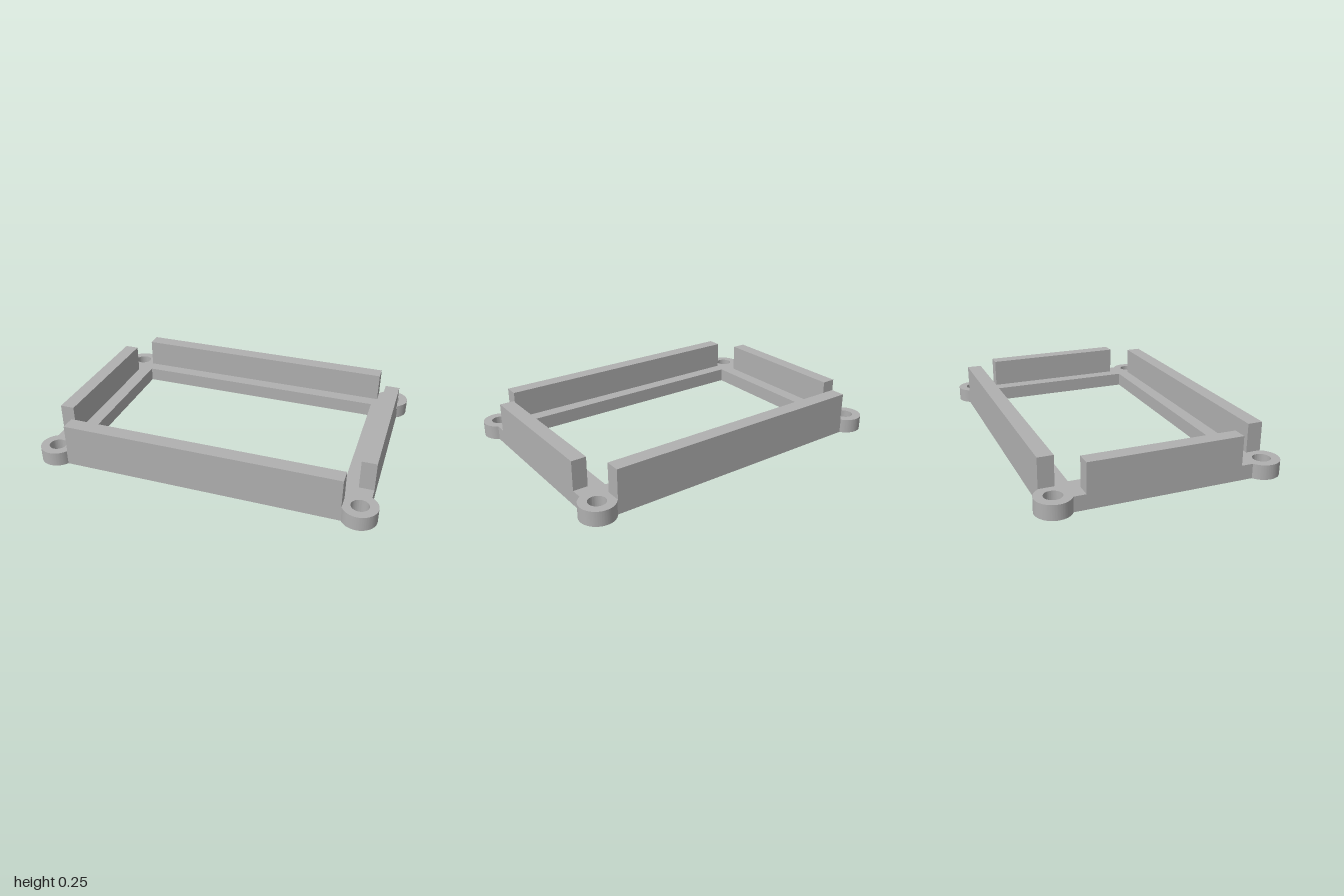
import * as THREE from 'three';
import { toCreasedNormals } from 'three/addons/utils/BufferGeometryUtils.js';

const BASE_H = 0.085, TOP = 0.255;
const EAR_X = 0.9, EAR_Z = 0.595, EAR_R = 0.1, HOLE_R = 0.05;

function rectPath(cx, cy, w, h) {
  const p = new THREE.Path();
  p.moveTo(cx - w / 2, cy - h / 2);
  p.lineTo(cx - w / 2, cy + h / 2);
  p.lineTo(cx + w / 2, cy + h / 2);
  p.lineTo(cx + w / 2, cy - h / 2);
  p.closePath();
  return p;
}

export function createModel() {
  const group = new THREE.Group();
  group.name = 'mountingBezel';
  const grey = new THREE.MeshStandardMaterial({ color: 0xb0b0b0 });
  grey.name = 'plainGrey';

  function add(name, geometry, x = 0, y = 0, z = 0) {
    const mesh = new THREE.Mesh(geometry, grey);
    mesh.name = name;
    mesh.position.set(x, y, z);
    group.add(mesh);
  }

  // Flat frame with a round screw ear at each corner
  const outline = new THREE.Shape();
  const corners = [[1, 1], [-1, 1], [-1, -1], [1, -1]];
  corners.forEach(([sx, sy], i) => {
    const start = -Math.PI / 3 + i * Math.PI / 2;
    outline.absarc(sx * EAR_X, sy * EAR_Z, EAR_R, start, start + Math.PI * 7 / 6, false);

    // Screw hole, and a blind slot underneath that the long wall covers
    const hole = new THREE.Path();
    hole.absarc(sx * EAR_X, sy * EAR_Z, HOLE_R, 0, Math.PI * 2, true);
    outline.holes.push(hole, rectPath(sx * 0.64, sy * 0.6, 0.115, 0.04));
  });
  outline.closePath();

  // Central window
  outline.holes.push(rectPath(0, 0, 1.565, 0.955));

  const frame = new THREE.ExtrudeGeometry(outline, {
    depth: BASE_H, bevelEnabled: false, curveSegments: 32,
  });
  frame.rotateX(-Math.PI / 2);
  add('baseFrame', toCreasedNormals(frame, Math.PI / 6));

  // Upright walls, stopping short of the ears
  const wallH = TOP - BASE_H, wallY = (TOP + BASE_H) / 2;
  const longWall = new THREE.BoxGeometry(1.62, wallH, 0.088);
  const sideWall = new THREE.BoxGeometry(0.085, wallH, 0.88);
  add('frontWall', longWall, 0, wallY, 0.601);
  add('backWall', longWall, 0, wallY, -0.601);
  add('leftWall', sideWall, 0.9075, wallY, 0);
  add('rightWall', sideWall, -0.9075, wallY, 0);

  return group;
}
